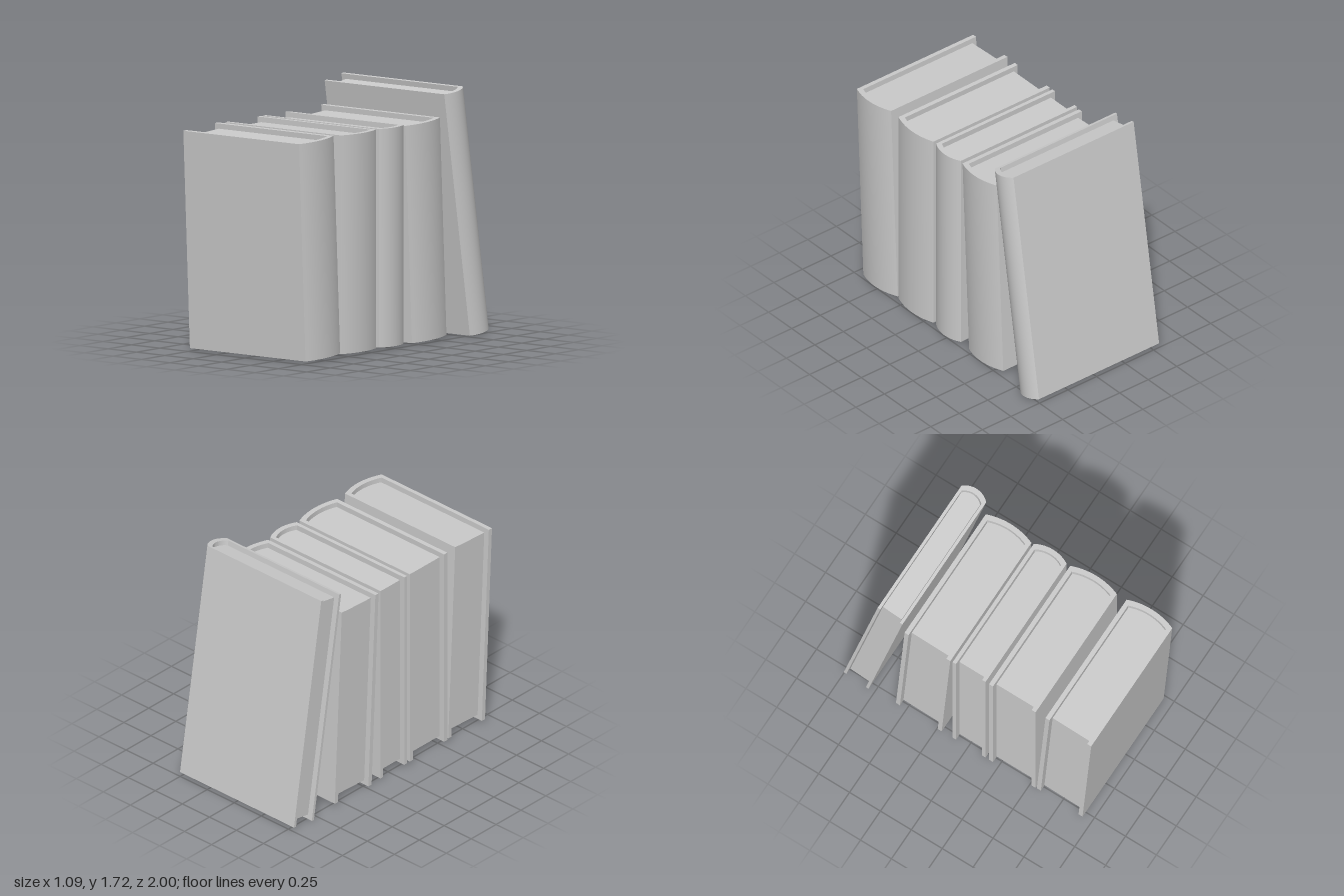
import * as THREE from 'three';
import { toCreasedNormals } from 'three/addons/utils/BufferGeometryUtils.js';

const material = new THREE.MeshStandardMaterial({ color: 0xcccccc });

// Points of a shallow arc bulging towards +x, from z = -half to z = +half
function bulge(cornerX, half, rise, steps = 20) {
  const radius = (half * half + rise * rise) / (2 * rise);
  const sweep = Math.asin(half / radius);
  const points = [];
  for (let i = 0; i <= steps; i++) {
    const a = sweep * (2 * i / steps - 1);
    points.push(new THREE.Vector2(cornerX + rise - radius + radius * Math.cos(a), radius * Math.sin(a)));
  }
  return points;
}

// Extrudes a plan outline upwards from y = bottom
function upright(points, bottom, height, name) {
  const geometry = new THREE.ExtrudeGeometry(new THREE.Shape(points), { depth: height, bevelEnabled: false });
  geometry.rotateX(-Math.PI / 2).translate(0, bottom, 0);
  const mesh = new THREE.Mesh(toCreasedNormals(geometry, 0.5), material);
  mesh.name = name;
  return mesh;
}

// A hardback: C-shaped cover with a rounded spine at +x, and a recessed page block
function book({ name, width, height, board, foreEdge, spine, rise, y, z, tilt }) {
  const group = new THREE.Group();
  group.name = name;
  const half = width / 2;
  const inner = half - board;
  const hinge = spine - 0.03;
  const innerRise = rise * 0.8;
  const at = (x, s) => new THREE.Vector2(x, s);

  const cover = [
    at(foreEdge, -half),
    ...bulge(spine, half, rise),
    at(foreEdge, half),
    at(foreEdge, inner),
    ...bulge(hinge, inner, innerRise).reverse(),
    at(foreEdge, -inner),
  ];
  group.add(upright(cover, 0, height, 'cover'));

  const recess = 0.035;
  const pageHalf = inner - 0.004;
  const pages = [
    at(foreEdge + 0.037, -pageHalf),
    ...bulge(hinge, pageHalf, innerRise),
    at(foreEdge + 0.037, pageHalf),
  ];
  group.add(upright(pages, recess, height - 2 * recess, 'pages'));

  group.position.set(0, y, z);
  group.rotation.x = THREE.MathUtils.degToRad(tilt);
  return group;
}

export function createModel() {
  const model = new THREE.Group();
  model.name = 'bookRow';
  const common = { height: 1.503, board: 0.032, foreEdge: -0.543, spine: 0.476, rise: 0.036, y: 0.02, tilt: 0 };
  const books = [
    { name: 'frontBook', width: 0.37, z: 0.745, tilt: 2.67 },
    { name: 'secondBook', width: 0.377, z: 0.362 },
    { name: 'thinBook', width: 0.266, z: 0.012, board: 0.027 },
    { name: 'fourthBook', width: 0.37, z: -0.395, tilt: 2.67 },
    // taller, slimmer book leaning at the back
    { name: 'leaningBook', width: 0.203, height: 1.712, board: 0.021, foreEdge: -0.55,
      spine: 0.503, rise: 0.041, y: 0.0165, z: -0.898, tilt: 9.24 },
  ];
  for (const spec of books) model.add(book({ ...common, ...spec }));
  return model;
}
